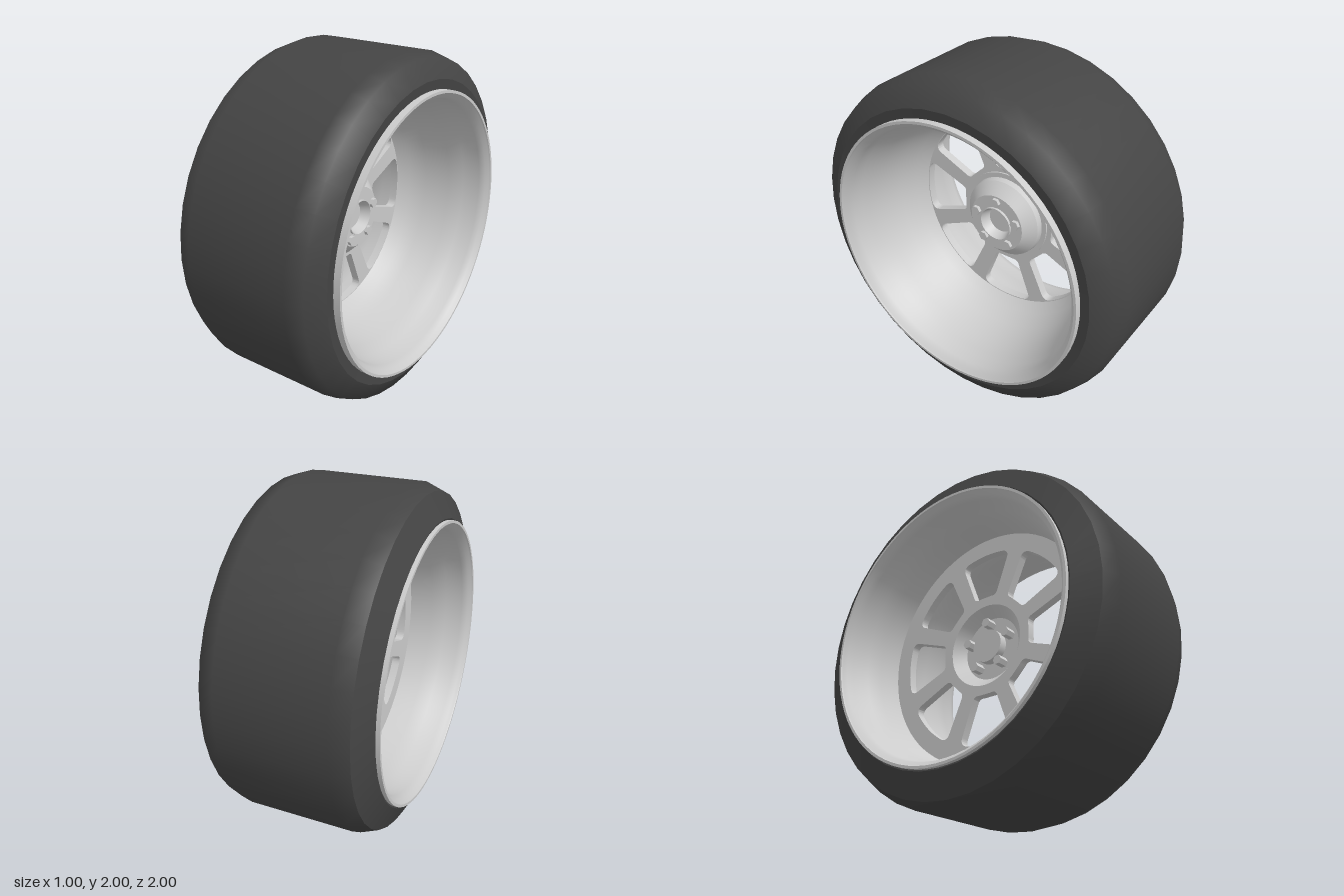
import * as THREE from 'three';
import { toCreasedNormals } from 'three/addons/utils/BufferGeometryUtils.js';

const metal = new THREE.MeshStandardMaterial({ color: 0xcccccc });
const rubber = new THREE.MeshStandardMaterial({ color: 0x444444 });

// Turned part about the x axis; profile points are [x, radius], outer skin running toward +x
function turned(name, profile, segments, material, crease) {
  let geo = new THREE.LatheGeometry(profile.map(([x, r]) => new THREE.Vector2(r, x)), segments);
  if (crease) geo = toCreasedNormals(geo, crease);
  geo.rotateZ(-Math.PI / 2);
  const mesh = new THREE.Mesh(geo, material);
  mesh.name = name;
  return mesh;
}

// Opening between two spokes, centred on angle a
function windowPath(a) {
  const ri = 0.31, ro = 0.6;
  const half = (r) => Math.PI / 8 - Math.asin((0.045 + 0.01 * (r - ri) / (ro - ri)) / r);
  const at = (r, t) => [r * Math.cos(a + t), r * Math.sin(a + t)];
  const path = new THREE.Path();
  const hi = half(ri), ho = half(ro), cut = 0.09;
  path.moveTo(...at(ri + 0.03, half(ri + 0.03)));
  path.lineTo(...at(ro - 0.05, half(ro - 0.05)));
  path.quadraticCurveTo(...at(ro, ho), ...at(ro, ho - cut));
  path.absarc(0, 0, ro, a + ho - cut, a - ho + cut, true);
  path.quadraticCurveTo(...at(ro, -ho), ...at(ro - 0.05, -half(ro - 0.05)));
  path.lineTo(...at(ri + 0.03, -half(ri + 0.03)));
  path.quadraticCurveTo(...at(ri, -hi), ...at(ri, -hi * 0.55));
  path.lineTo(...at(ri, hi * 0.55));
  path.quadraticCurveTo(...at(ri, hi), ...at(ri + 0.03, half(ri + 0.03)));
  return path;
}

// Thin eight-spoke plate
function spokePlate() {
  const shape = new THREE.Shape().absarc(0, 0, 0.612, 0, Math.PI * 2);
  shape.holes.push(new THREE.Path().absarc(0, 0, 0.25, 0, Math.PI * 2, true));
  for (let i = 0; i < 8; i++) shape.holes.push(windowPath(i * Math.PI / 4));
  const solid = new THREE.ExtrudeGeometry(shape, { depth: 0.05, bevelEnabled: false, curveSegments: 24 });
  const geo = toCreasedNormals(solid, 0.6);
  geo.rotateY(Math.PI / 2).translate(-0.115, 0, 0);
  const mesh = new THREE.Mesh(geo, metal);
  mesh.name = 'spokes';
  return mesh;
}

export function createModel() {
  const model = new THREE.Group();
  model.name = 'wheel';
  const wheel = new THREE.Group();
  wheel.name = 'wheelAssembly';
  wheel.position.y = 1;
  model.add(wheel);

  // Tyre: tread with one rounded shoulder, and two sidewalls
  wheel.add(
    turned('tread', [[-0.41, 0.96], [-0.31, 1], [0.31, 1], [0.405, 0.97], [0.465, 0.865]], 40, rubber),
    turned('outerSidewall', [[-0.47, 0.79], [-0.48, 0.82], [-0.41, 0.96]], 40, rubber, 0.5),
    turned('innerSidewall', [[0.465, 0.865], [0.46, 0.795]], 40, rubber),
  );

  // Rim: closed section with rounded lips, soft bead steps and a deep barrel
  wheel.add(turned('rim', [
    [-0.115, 0.6], [-0.115, 0.705], [-0.25, 0.72], [-0.34, 0.735], [-0.375, 0.752], [-0.44, 0.758],
    [-0.475, 0.77], [-0.49, 0.79], [-0.5, 0.795], [-0.5, 0.81], [-0.46, 0.81], [-0.46, 0.79],
    [-0.3, 0.78], [0.3, 0.78],
    [0.45, 0.79], [0.45, 0.81], [0.5, 0.81], [0.5, 0.795], [0.49, 0.79],
    [0.475, 0.77], [0.44, 0.758], [0.375, 0.752], [0.34, 0.735], [0.25, 0.715], [0.1, 0.685],
    [0, 0.65], [-0.065, 0.605],
  ], 80, metal, 0.75));

  wheel.add(spokePlate());

  // Dished hub: recessed on one face, a cone standing out of the plate on the other
  wheel.add(turned('hub', [
    [-0.05, 0], [-0.05, 0.19], [-0.115, 0.25], [-0.115, 0.27], [-0.09, 0.28],
    [-0.055, 0.28], [-0.055, 0.25], [-0.02, 0.245], [0.045, 0.18], [0.045, 0.105],
    [0.06, 0.105], [0.06, 0.1], [0, 0.08], [0, 0],
  ], 48, metal, 0.5));
  wheel.add(turned('centreCap', [[-0.1, 0], [-0.1, 0.1], [-0.045, 0.1]], 40, metal, 0.5));

  // Five hexagonal lug bolts showing on both faces of the hub
  for (let i = 0; i < 5; i++) {
    const a = Math.PI / 2 + i * Math.PI * 2 / 5;
    const geo = toCreasedNormals(new THREE.CylinderGeometry(0.029, 0.029, 0.18, 6), 0.3);
    geo.rotateZ(Math.PI / 2);
    const lug = new THREE.Mesh(geo, metal);
    lug.name = 'lugBolt';
    lug.position.set(-0.025, 0.144 * Math.sin(a), 0.144 * Math.cos(a));
    wheel.add(lug);
  }
  return model;
}
